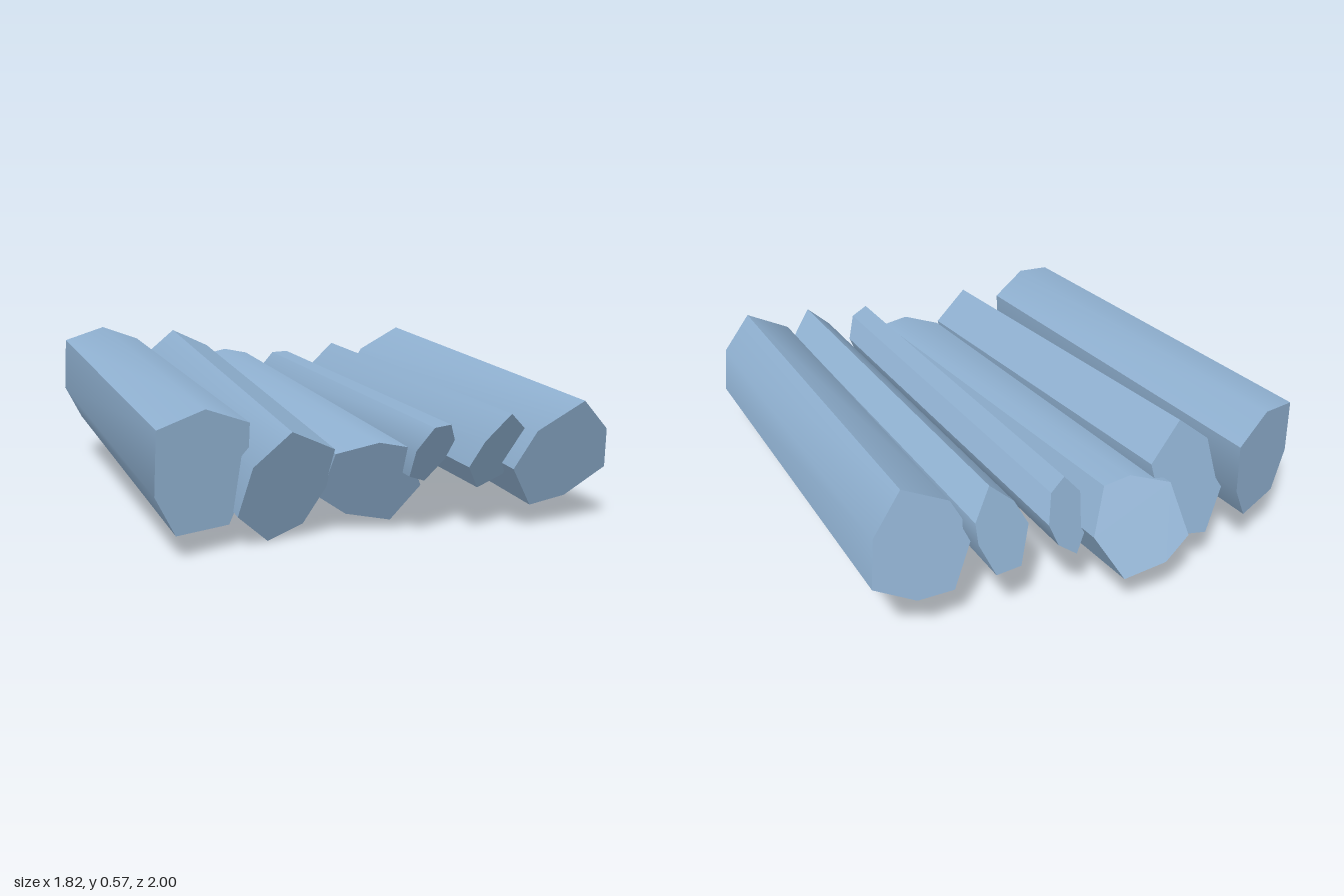
import * as THREE from 'three';
import { toCreasedNormals } from 'three/addons/utils/BufferGeometryUtils.js';

// Each log: front outline (x, y), slanted cut z = z0 + b (x - x0) + c (y - y0)
// through the first outline point, and the shift from front end to back end.
const LOGS = [
  {
    outline: [[-0.71, 0.43], [-0.54, 0.475], [-0.38, 0.41], [-0.39, 0.22], [-0.46, 0.08], [-0.65, 0.08], [-0.72, 0.22]],
    cut: [0.995, -0.53, 0], shift: [-0.19, 0.097, -1.725],
  },
  {
    outline: [[-0.27, 0.4], [-0.1, 0.315], [-0.115, 0.175], [-0.19, 0.045], [-0.32, 0], [-0.44, 0.115], [-0.4, 0.29]],
    cut: [0.965, -0.4, 0.436], shift: [-0.155, 0.16, -1.695],
  },
  {
    outline: [[0.04, 0.34], [0.14, 0.32], [0.21, 0.17], [0.13, 0.03], [-0.03, 0.06], [-0.13, 0.13], [-0.1, 0.3]],
    cut: [0.91, 0.128, 0.553], shift: [-0.21, 0.115, -1.75],
  },
  {
    outline: [[0.207, 0.395], [0.29, 0.39], [0.335, 0.32], [0.31, 0.25], [0.23, 0.18], [0.144, 0.22], [0.144, 0.32]],
    cut: [0.98, -0.785, 0.66], shift: [-0.17, 0.05, -1.725],
  },
  {
    outline: [[0.48, 0.43], [0.57, 0.36], [0.575, 0.3], [0.525, 0.185], [0.41, 0.155], [0.34, 0.25], [0.385, 0.34]],
    cut: [0.975, -0.6, 0.58], shift: [-0.16, 0.05, -1.72],
  },
  {
    outline: [[0.755, 0.46], [0.88, 0.345], [0.91, 0.195], [0.755, 0.1], [0.61, 0.08], [0.51, 0.23], [0.58, 0.365]],
    cut: [0.955, -0.258, 0.37], shift: [-0.12, 0.085, -1.7],
  },
];

// Extrude the outline, then lean the prism and slant both ends
function logGeometry({ outline, cut, shift }) {
  const shape = new THREE.Shape(outline.map(([x, y]) => new THREE.Vector2(x, y)));
  const geometry = new THREE.ExtrudeGeometry(shape, { depth: 1, bevelEnabled: false });
  const [x0, y0] = outline[0];
  const [z0, b, c] = cut;
  const p = geometry.attributes.position;
  for (let i = 0; i < p.count; i++) {
    const x = p.getX(i), y = p.getY(i), t = 1 - p.getZ(i);
    const z = z0 + b * (x - x0) + c * (y - y0);
    p.setXYZ(i, x + t * shift[0], y + t * shift[1], z + t * shift[2]);
  }
  geometry.deleteAttribute('uv');
  return toCreasedNormals(geometry, THREE.MathUtils.degToRad(45));
}

export function createModel() {
  const group = new THREE.Group();
  group.name = 'logRow';
  const material = new THREE.MeshStandardMaterial({ color: 0x8fb0d0 });
  material.name = 'paleBlue';
  LOGS.forEach((log, i) => {
    const mesh = new THREE.Mesh(logGeometry(log), material);
    mesh.name = `log${i + 1}`;
    group.add(mesh);
  });
  return group;
}
